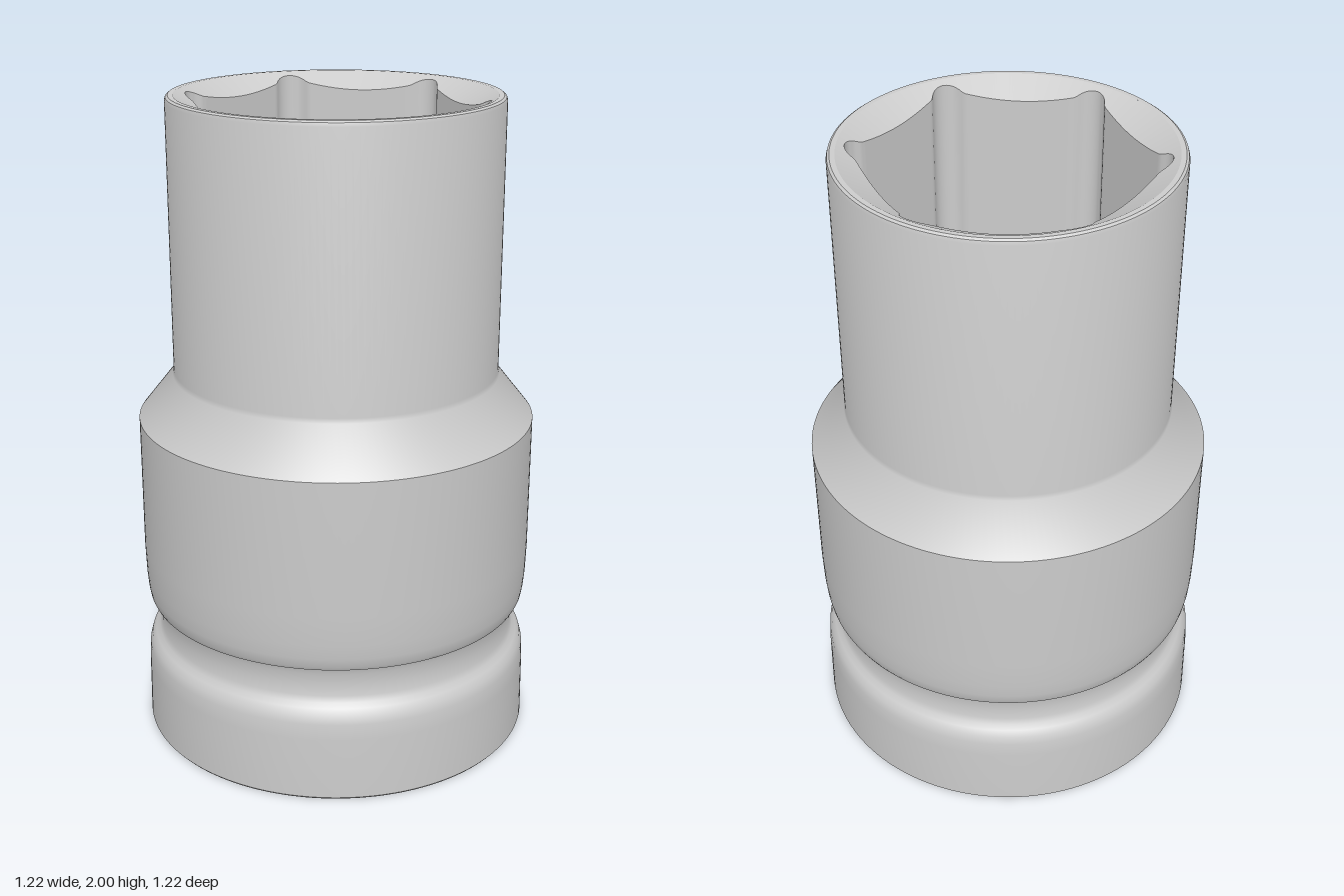
import * as THREE from 'three';
import { toCreasedNormals } from 'three/addons/utils/BufferGeometryUtils.js';

const SEGMENTS = 360;
const START = THREE.MathUtils.degToRad(-4.5); // both recesses share one corner direction

// Radius of a polygonal recess with a round relief lobe at each corner
function recess(sides, apothem, centre, lobe, offset) {
  const step = (Math.PI * 2) / sides;
  return (angle) => {
    let phi = (angle - offset) % step;
    if (phi < 0) phi += step;
    if (phi > step / 2) phi -= step;
    const flat = apothem / Math.cos(step / 2 - Math.abs(phi));
    const s = lobe ** 2 - (centre * Math.sin(phi)) ** 2;
    if (s < 0) return flat;
    const round = centre * Math.cos(phi) + Math.sqrt(s);
    // smooth maximum fillets the lobe into the flat
    const k = 0.012;
    const h = Math.max(k - Math.abs(flat - round), 0) / k;
    return Math.max(flat, round) + (h * h * k) / 4;
  };
}

// Skin through rings listed from top to bottom, facing the axis; each ring maps angle to [radius, y]
function innerSkin(rings) {
  const positions = [];
  const index = [];
  rings.forEach((ring, i) => {
    for (let j = 0; j < SEGMENTS; j++) {
      const t = (j / SEGMENTS) * Math.PI * 2;
      const [r, y] = ring(t);
      positions.push(r * Math.cos(t), y, r * Math.sin(t));
      if (i === rings.length - 1) continue;
      const next = (j + 1) % SEGMENTS;
      const a = i * SEGMENTS + j;
      const b = i * SEGMENTS + next;
      const c = a + SEGMENTS;
      const d = b + SEGMENTS;
      index.push(a, c, b, b, c, d);
    }
  });
  const geometry = new THREE.BufferGeometry();
  geometry.setAttribute('position', new THREE.Float32BufferAttribute(positions, 3));
  geometry.setIndex(index);
  return toCreasedNormals(geometry, 0.5);
}

const circle = (r, y) => () => [r, y];

export function createModel() {
  const group = new THREE.Group();
  group.name = 'impactSocket';
  const material = new THREE.MeshStandardMaterial({ color: 0xcccccc });
  const add = (name, geometry) => {
    const mesh = new THREE.Mesh(geometry, material);
    mesh.name = name;
    group.add(mesh);
  };

  // Outer body: flange, retaining groove, thick drive end, cone and slim nose
  const profile = [
    [0.56, 0], [0.605, 0], [0.61, 0.006], [0.608, 0.2], [0.605, 0.25], [0.598, 0.275],
    [0.585, 0.293], [0.572, 0.306], [0.565, 0.325], [0.562, 0.36], [0.563, 0.395],
    [0.568, 0.412], [0.58, 0.421], [0.592, 0.425], [0.598, 0.437], [0.603, 0.465],
    [0.607, 0.51], [0.61, 0.6], [0.61, 1.02], [0.503, 1.155], [0.5, 1.17],
    [0.5, 1.985], [0.497, 1.995], [0.49, 2], [0.475, 2],
  ].map(([r, y]) => new THREE.Vector2(r, y));
  add('outerBody', toCreasedNormals(new THREE.LatheGeometry(profile, 160), 0.5));

  // Hex recess with a conical lead-in that the contour cuts into
  const hex = recess(6, 0.387, 0.405, 0.05, START);
  add('hexRecess', innerSkin([
    circle(0.475, 2),
    (t) => [hex(t), 2 - (0.475 - hex(t)) * 0.55],
    (t) => [hex(t), 1.1],
    circle(0.375, 1.1),
  ]));

  // Round through bore with a narrowing step
  add('throughBore', innerSkin([
    circle(0.375, 1.1), circle(0.375, 0.85), circle(0.342, 0.82), circle(0.342, 0.72),
  ]));

  // Square drive recess with a conical lead-in at the base
  const square = recess(4, 0.365, 0.445, 0.075, START + Math.PI / 3);
  add('squareDriveRecess', innerSkin([
    circle(0.342, 0.72),
    (t) => [square(t), 0.72],
    (t) => [square(t), (0.56 - square(t)) * 0.4],
    circle(0.56, 0),
  ]));

  return group;
}
